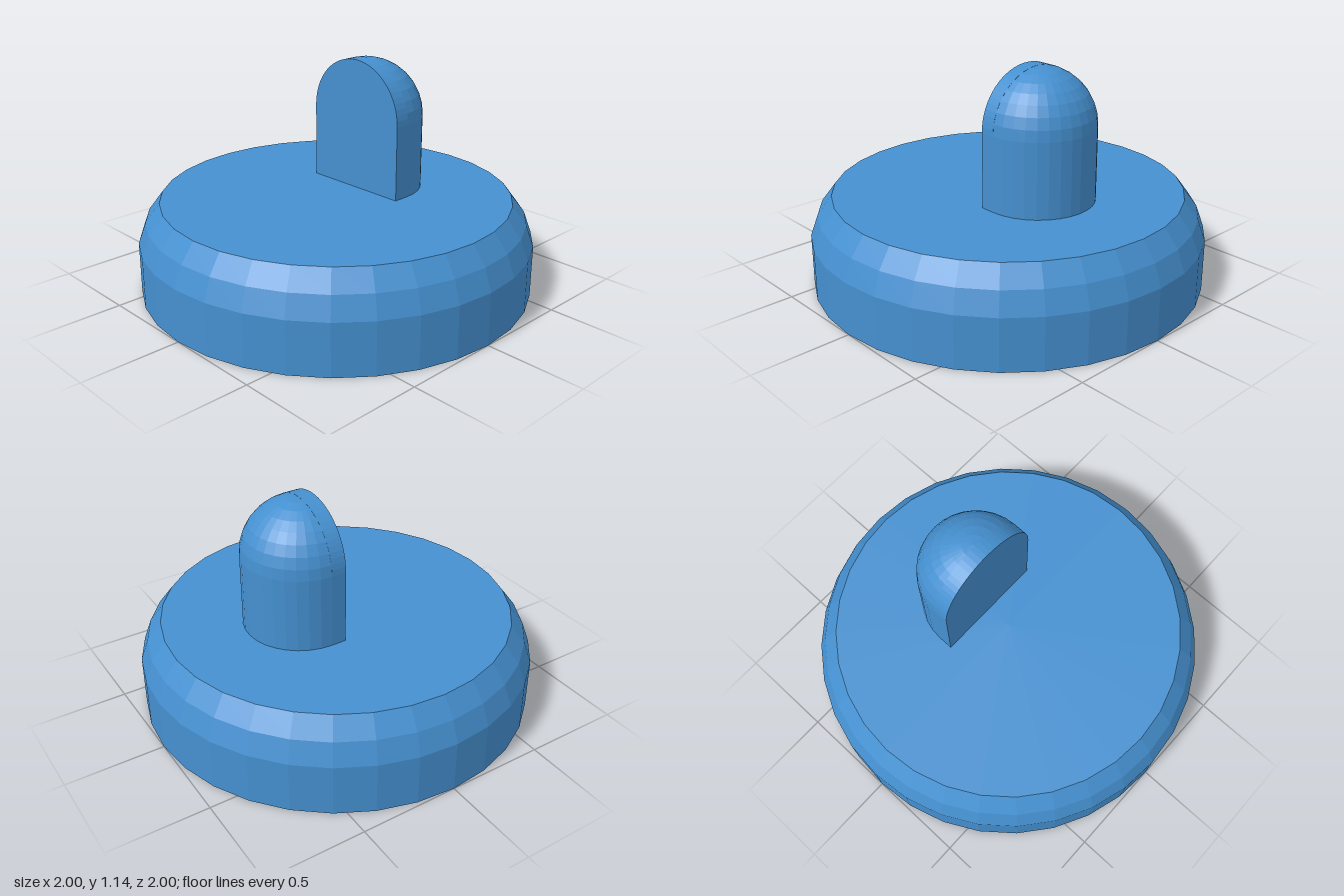
import * as THREE from 'three';

const BASE_TOP = 0.47;   // height of the base's flat top
const PIN_R = 0.29;      // radius of the pin and its dome
const PIN_FLAT = 0.133;  // x of the pin's flat face
const PIN_X = 0.21;      // x of the pin's axis
const DOME_Y = 0.85;     // height where the dome starts

export function createModel() {
  const group = new THREE.Group();
  const material = new THREE.MeshStandardMaterial({ color: 0x4590d0, flatShading: true });
  const add = (name, geometry, parent = group) => {
    const mesh = new THREE.Mesh(geometry, material);
    mesh.name = name;
    parent.add(mesh);
    return mesh;
  };

  // Round base with a rounded shoulder
  const profile = [[0, 0], [1, 0], [1, 0.265], [0.96, 0.375], [0.888, BASE_TOP], [0, BASE_TOP]];
  add('base', new THREE.LatheGeometry(profile.map(([x, y]) => new THREE.Vector2(x, y)), 32));

  const pin = new THREE.Group();
  pin.name = 'pin';
  group.add(pin);

  // Round half of the pin: upright wall and dome, swept through half a turn
  const rows = 8;
  const wall = [new THREE.Vector2(PIN_R, BASE_TOP)];
  for (let i = 0; i <= rows; i++) {
    const a = (i / rows) * Math.PI / 2;
    wall.push(new THREE.Vector2(i === rows ? 0 : PIN_R * Math.cos(a), DOME_Y + PIN_R * Math.sin(a)));
  }
  add('pinRound', new THREE.LatheGeometry(wall, 16, 0, Math.PI), pin).position.x = PIN_X;

  // Straight arched slab that carries the round half back to the flat face
  const arch = new THREE.Shape();
  arch.moveTo(-PIN_R, BASE_TOP);
  arch.lineTo(PIN_R, BASE_TOP);
  arch.lineTo(PIN_R, DOME_Y);
  arch.absarc(0, DOME_Y, PIN_R, 0, Math.PI, false);
  const slab = new THREE.ExtrudeGeometry(arch, {
    depth: PIN_X - PIN_FLAT, bevelEnabled: false, curveSegments: 2 * rows,
  });
  slab.rotateY(Math.PI / 2);
  add('pinFlatBack', slab, pin).position.x = PIN_FLAT;

  return group;
}
